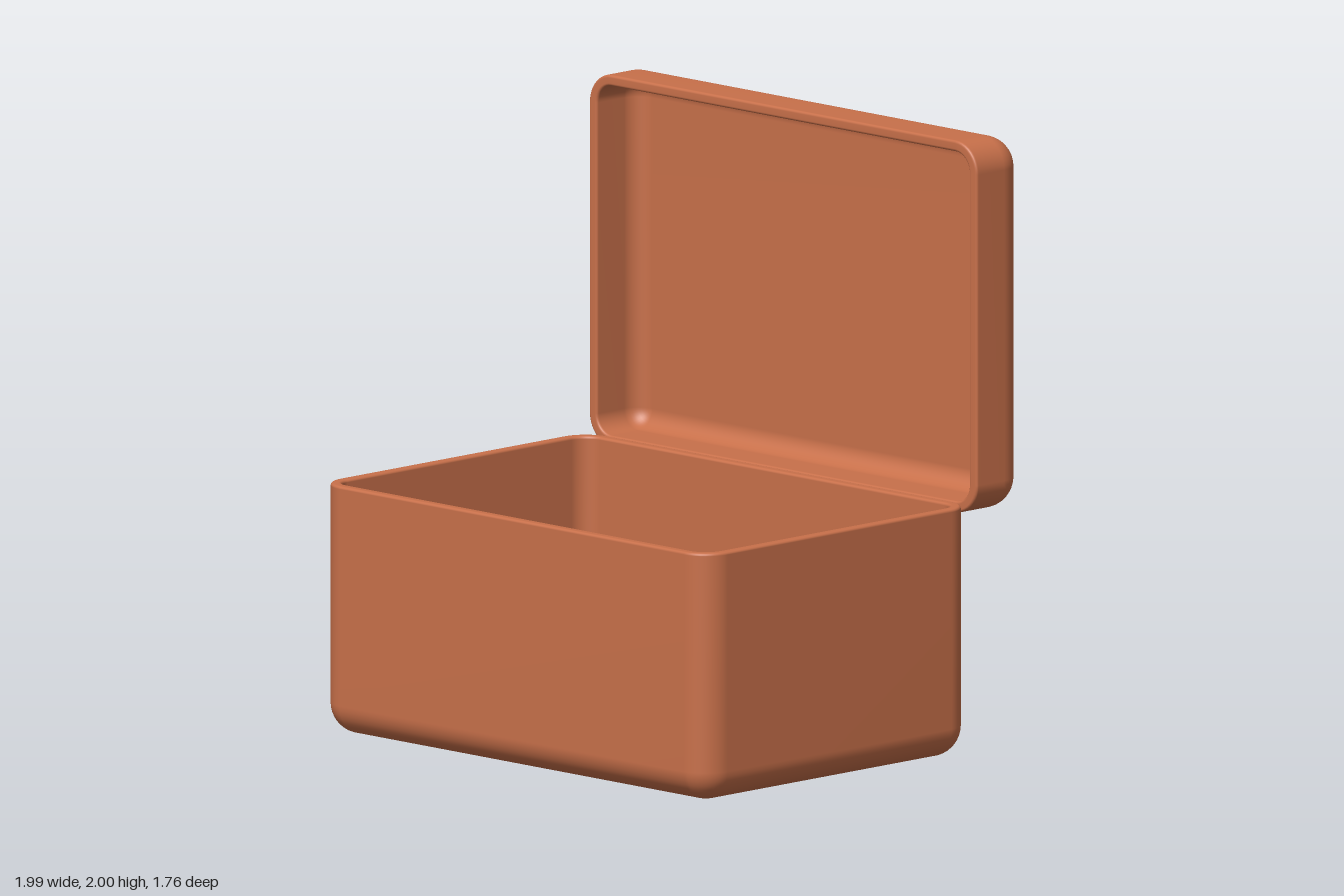
import * as THREE from 'three';
import { mergeVertices } from 'three/addons/utils/BufferGeometryUtils.js';

const W = 1.768, D = 1.218, R = 0.1, WALL = 0.036, LIP = 0.009;
const STEPS = 10; // segments per rounded corner

// Rounded-rectangle loop, moved inwards by inset, at height y
function loop(inset, y) {
  const pts = [];
  for (let q = 0; q < 4; q++) {
    const sx = q === 0 || q === 3 ? 1 : -1, sz = q < 2 ? -1 : 1;
    for (let i = 0; i <= STEPS; i++) {
      const a = (q + i / STEPS) * Math.PI / 2, r = R - inset;
      pts.push(sx * (W / 2 - R) + r * Math.cos(a), y, sz * (D / 2 - R) - r * Math.sin(a));
    }
  }
  return pts;
}

// Open hollow tray: outer skin up, over the rounded lip, inner skin down
function trayGeometry(height) {
  const profile = [];
  const arc = (ci, cy, r, from, to, n) => {
    for (let i = 0; i <= n; i++) {
      const a = from + (to - from) * i / n;
      profile.push([ci + r * Math.cos(a), cy + r * Math.sin(a)]);
    }
  };
  const P = Math.PI;
  arc(R, R, R, 1.5 * P, P, 10);                        // outer bottom edge
  arc(LIP, height - LIP, LIP, P, P / 2, 4);            // outer lip
  arc(WALL - LIP, height - LIP, LIP, P / 2, 0, 4);     // inner lip
  arc(R, R, R - WALL, P, 1.5 * P, 10);                 // inner bottom edge

  const pos = profile.flatMap(([i, y]) => loop(i, y));
  const n = 4 * (STEPS + 1), last = profile.length - 1, index = [];
  const c0 = pos.length / 3;
  pos.push(0, 0, 0, 0, WALL, 0); // centres of underside and floor
  for (let j = 0; j < n; j++) {
    const k = (j + 1) % n;
    for (let s = 0; s < last; s++) {
      const a = s * n + j, b = s * n + k;
      index.push(a, b, b + n, a, b + n, a + n);
    }
    index.push(c0, k, j, c0 + 1, last * n + j, last * n + k);
  }
  let g = new THREE.BufferGeometry();
  g.setAttribute('position', new THREE.Float32BufferAttribute(pos, 3));
  g.setIndex(index);
  g = mergeVertices(g, 1e-5);
  g.computeVertexNormals();
  return g;
}

export function createModel() {
  const model = new THREE.Group();
  model.name = 'hingedBox';
  const material = new THREE.MeshStandardMaterial({ color: 0xc8704a });

  // Whole box is turned slightly about the vertical axis
  const turned = new THREE.Group();
  turned.name = 'turnedBox';
  turned.rotation.y = THREE.MathUtils.degToRad(-12);
  model.add(turned);

  const base = new THREE.Mesh(trayGeometry(0.82), material);
  base.name = 'base';
  base.position.set(-0.003, 0, 0.118);
  turned.add(base);

  // Lid stands upright behind the base, its hollow side facing forward
  const lid = new THREE.Mesh(trayGeometry(0.225), material);
  lid.name = 'lid';
  lid.rotation.x = Math.PI / 2;
  lid.position.set(-0.003, 2 - D / 2, -0.73);
  turned.add(lid);

  return model;
}
